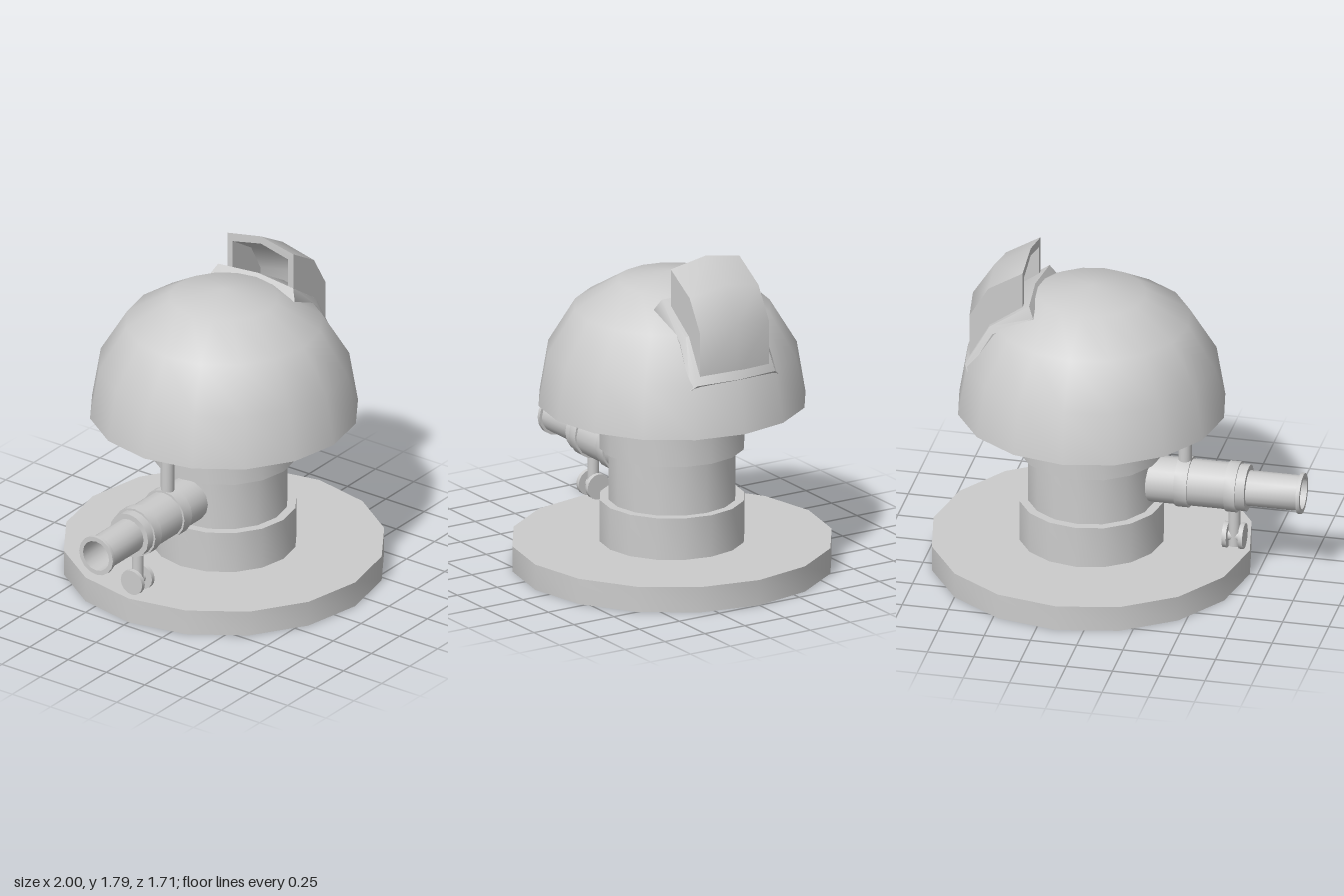
import * as THREE from 'three';
import { toCreasedNormals } from 'three/addons/utils/BufferGeometryUtils.js';

const AXIS_X = 0.145; // vertical axis of the turret
const SIDES = 16;

export function createModel() {
  const model = new THREE.Group();
  model.name = 'domedTurret';
  const grey = new THREE.MeshStandardMaterial({ color: 0xcccccc, side: THREE.DoubleSide });
  grey.name = 'plain grey';

  function add(name, geometry, x = AXIS_X, y = 0, z = 0, parent = model) {
    const mesh = new THREE.Mesh(toCreasedNormals(geometry, 0.7), grey);
    mesh.name = name;
    mesh.position.set(x, y, z);
    parent.add(mesh);
    return mesh;
  }
  const lathe = (points, sides = SIDES) =>
    new THREE.LatheGeometry(points.map(([r, y]) => new THREE.Vector2(r, y)), sides);
  const alongX = (r, width) => new THREE.CylinderGeometry(r, r, width, SIDES).rotateZ(Math.PI / 2);

  // Base plate, open underneath
  add('basePlate', lathe([[0.855, 0], [0.855, 0.14], [0, 0.14]]));

  // Column with a collar at each end
  add('column', lathe([
    [0, 0.085], [0.387, 0.085], [0.387, 0.37], [0.34, 0.37],
    [0.34, 0.655], [0.387, 0.655], [0.387, 0.91],
  ]));

  // Dome with a flat underside
  add('dome', lathe([
    [0, 0.91], [0.715, 0.91], [0.668, 1.19], [0.523, 1.43], [0.287, 1.573], [0, 1.62],
  ]));

  // Side barrel with a hollow muzzle
  const barrel = new THREE.Group();
  barrel.name = 'sideBarrel';
  model.add(barrel);
  add('barrelTube', lathe([
    [0.125, -0.1], [0.125, 0.705], [0.095, 0.705], [0.095, 0.98], [0.11, 0.98],
    [0.11, 1], [0.085, 1], [0.085, 0.72], [0, 0.72],
  ]).rotateZ(Math.PI / 2), 0, 0.51, 0, barrel);
  add('frontClamp', alongX(0.136, 0.06), -0.625, 0.51, 0, barrel);
  add('rearClamp', alongX(0.136, 0.07), -0.36, 0.51, 0, barrel);
  add('hangingStrut', new THREE.CylinderGeometry(0.036, 0.036, 0.32, SIDES), -0.36, 0.76, 0, barrel);

  // Small pair of knobs hanging below the front clamp
  add('knobStem', new THREE.CylinderGeometry(0.031, 0.031, 0.25, SIDES), -0.627, 0.29, 0, barrel);
  add('knobAxle', alongX(0.03, 0.1), -0.627, 0.222, 0, barrel);
  for (const side of [-1, 1]) {
    add('knob', alongX(0.07, 0.024), -0.627 + side * 0.044, 0.222, 0, barrel);
  }

  // Walls between an outer and an inner arch, swept through several stations
  function arch(stations) {
    const rings = stations.map(([outer, inner]) => [...outer, ...inner.slice().reverse()]);
    const n = rings[0].length;
    const pos = [];
    const quad = (a, b, c, d) => pos.push(...a, ...b, ...c, ...a, ...c, ...d);
    for (let s = 0; s < rings.length - 1; s++) {
      for (let i = 0; i < n; i++) {
        const j = (i + 1) % n;
        quad(rings[s][i], rings[s + 1][i], rings[s + 1][j], rings[s][j]);
      }
    }
    for (let i = 0; i < n / 2 - 1; i++) {
      const first = rings[0], last = rings[rings.length - 1];
      quad(first[i], first[i + 1], first[n - 2 - i], first[n - 1 - i]);
      quad(last[n - 1 - i], last[n - 2 - i], last[i + 1], last[i]);
    }
    const geometry = new THREE.BufferGeometry();
    geometry.setAttribute('position', new THREE.Float32BufferAttribute(pos, 3));
    geometry.computeVertexNormals();
    return geometry;
  }
  // Symmetric five-point arch: foot, shoulder, ridge, shoulder, foot
  const five = (foot, footZ, shoulder, shoulderZ, ridge) => [
    [...foot, -footZ], [...shoulder, -shoulderZ], [...ridge, 0],
    [...shoulder, shoulderZ], [...foot, footZ],
  ];

  // Raised bevelled frame lying on the dome
  const frame = [
    // foot, shoulder, ridge
    [[0.4, 1.525], [0.428, 1.58], [0.45, 1.59]],
    [[0.625, 1.398], [0.645, 1.43], [0.68, 1.452]],
    [[0.755, 1.168], [0.775, 1.195], [0.81, 1.2]],
  ];
  const frameWidths = [[0.275, 0.245], [0.257, 0.232], [0.275, 0.243]];
  add('hatchFrame', arch(frame.map(([foot, shoulder, ridge], i) => {
    const [fz, sz] = frameWidths[i];
    const deep = [foot[0] - 0.05, foot[1] - 0.08];
    return [five(foot, fz, shoulder, sz, ridge), five(deep, fz - 0.02, deep, 0.15, deep)];
  })), 0);

  // Hood standing over the frame, open towards the dome top
  const hood = [
    // foot, shoulder, ridge, inner shoulder, inner ridge
    [[0.47, 1.47], [0.47, 1.755], [0.475, 1.795], [0.47, 1.715], [0.475, 1.752]],
    [[0.62, 1.37], [0.655, 1.645], [0.667, 1.685], [0.635, 1.61], [0.645, 1.647]],
    [[0.7, 1.26], [0.757, 1.475], [0.787, 1.5], [0.717, 1.46], [0.747, 1.485]],
    [[0.7, 1.18], [0.757, 1.205], [0.787, 1.21], [0.717, 1.19], [0.747, 1.2]],
  ];
  add('hatchHood', arch(hood.map(([foot, shoulder, ridge, inShoulder, inRidge]) => [
    five(foot, 0.215, shoulder, 0.215, ridge),
    five(foot, 0.18, inShoulder, 0.18, inRidge),
  ])), 0);

  return model;
}
